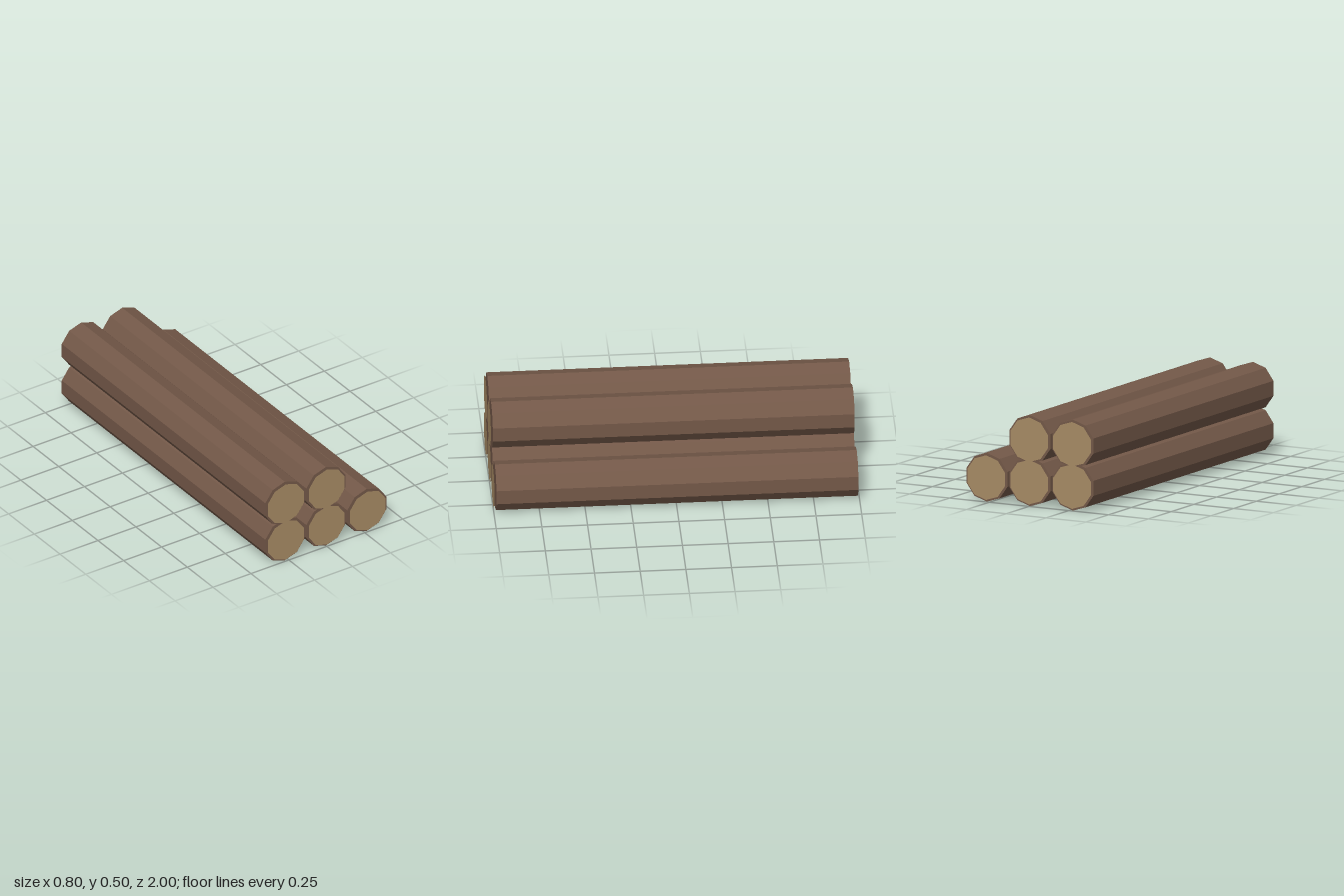
import * as THREE from 'three';

export function createModel() {
  const model = new THREE.Group();
  model.name = 'logPile';

  const bark = new THREE.MeshStandardMaterial({ color: 0x735848, flatShading: true });
  bark.name = 'bark brown';
  const wood = new THREE.MeshStandardMaterial({ color: 0xa68a64, flatShading: true });
  wood.name = 'cut wood tan';

  const SIDES = 10, RADIUS = 0.135, CUT_RADIUS = 0.124;

  // Ten-sided trunk lying along z, one corner pointing up
  const trunkGeometry = new THREE.CylinderGeometry(RADIUS, RADIUS, 1.98, SIDES).rotateX(Math.PI / 2);
  // Thin cut face just beyond each end of the trunk
  const cutGeometry = new THREE.CircleGeometry(CUT_RADIUS, SIDES, Math.PI / 2);

  function addLog(x, y) {
    const log = new THREE.Group();
    log.name = 'log';
    const trunk = new THREE.Mesh(trunkGeometry, bark);
    trunk.name = 'trunk';
    log.add(trunk);
    for (const side of [1, -1]) {
      const cut = new THREE.Mesh(cutGeometry, wood);
      cut.name = side > 0 ? 'frontCutFace' : 'backCutFace';
      cut.position.z = side;
      if (side < 0) cut.rotation.y = Math.PI;
      log.add(cut);
    }
    log.position.set(x, y, 0);
    model.add(log);
  }

  // Three logs below, two stacked on top
  for (const x of [-0.27, 0, 0.27]) addLog(x, RADIUS);
  for (const x of [-0.27, 0]) addLog(x, 0.37);

  return model;
}
